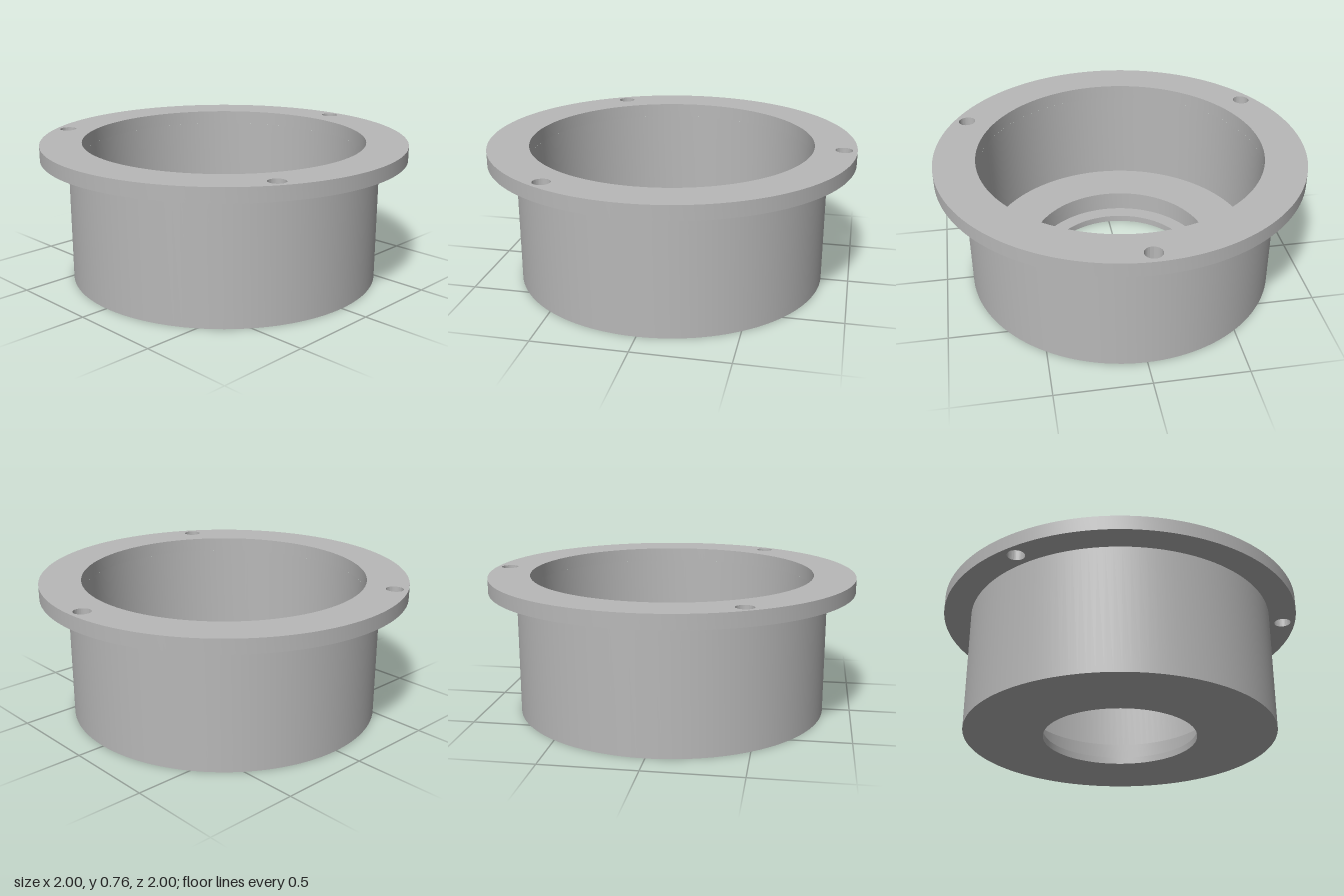
import * as THREE from 'three';
import { toCreasedNormals } from 'three/addons/utils/BufferGeometryUtils.js';

const BORE = 0.775;        // inner radius shared by cup and flange
const FLANGE_Y = 0.68;     // underside of the flange
const FLANGE_H = 0.077;

const circle = (Type, x, y, r) => new Type().absarc(x, y, r, 0, Math.PI * 2, false);

export function createModel() {
  const model = new THREE.Group();
  model.name = 'flangedHousing';
  const grey = new THREE.MeshStandardMaterial({ color: 0xb8b8b8 });
  grey.name = 'metal grey';

  const addPart = (name, geometry) => {
    const mesh = new THREE.Mesh(toCreasedNormals(geometry, 0.5), grey);
    mesh.name = name;
    model.add(mesh);
    return mesh;
  };

  // Cup: bore wall, floor, recessed seat, thin lip around the opening, outer wall
  const profile = [
    [BORE, FLANGE_Y], [BORE, 0.15], [0.505, 0.15], [0.505, 0.038],
    [0.42, 0.038], [0.42, 0], [0.85, 0], [0.85, FLANGE_Y],
  ].map(([r, y]) => new THREE.Vector2(r, y));
  addPart('cup', new THREE.LatheGeometry(profile, 128));

  // Flange: flat ring with three screw holes
  const ring = circle(THREE.Shape, 0, 0, 1);
  ring.holes.push(circle(THREE.Path, 0, 0, BORE));
  for (let i = 0; i < 3; i++) {
    const a = (i * Math.PI * 2) / 3;
    ring.holes.push(circle(THREE.Path, 0.93 * Math.cos(a), 0.93 * Math.sin(a), 0.046));
  }
  const flange = new THREE.ExtrudeGeometry(ring, {
    depth: FLANGE_H, bevelEnabled: false, curveSegments: 128,
  });
  flange.rotateX(-Math.PI / 2);
  addPart('flange', flange).position.y = FLANGE_Y;

  return model;
}
